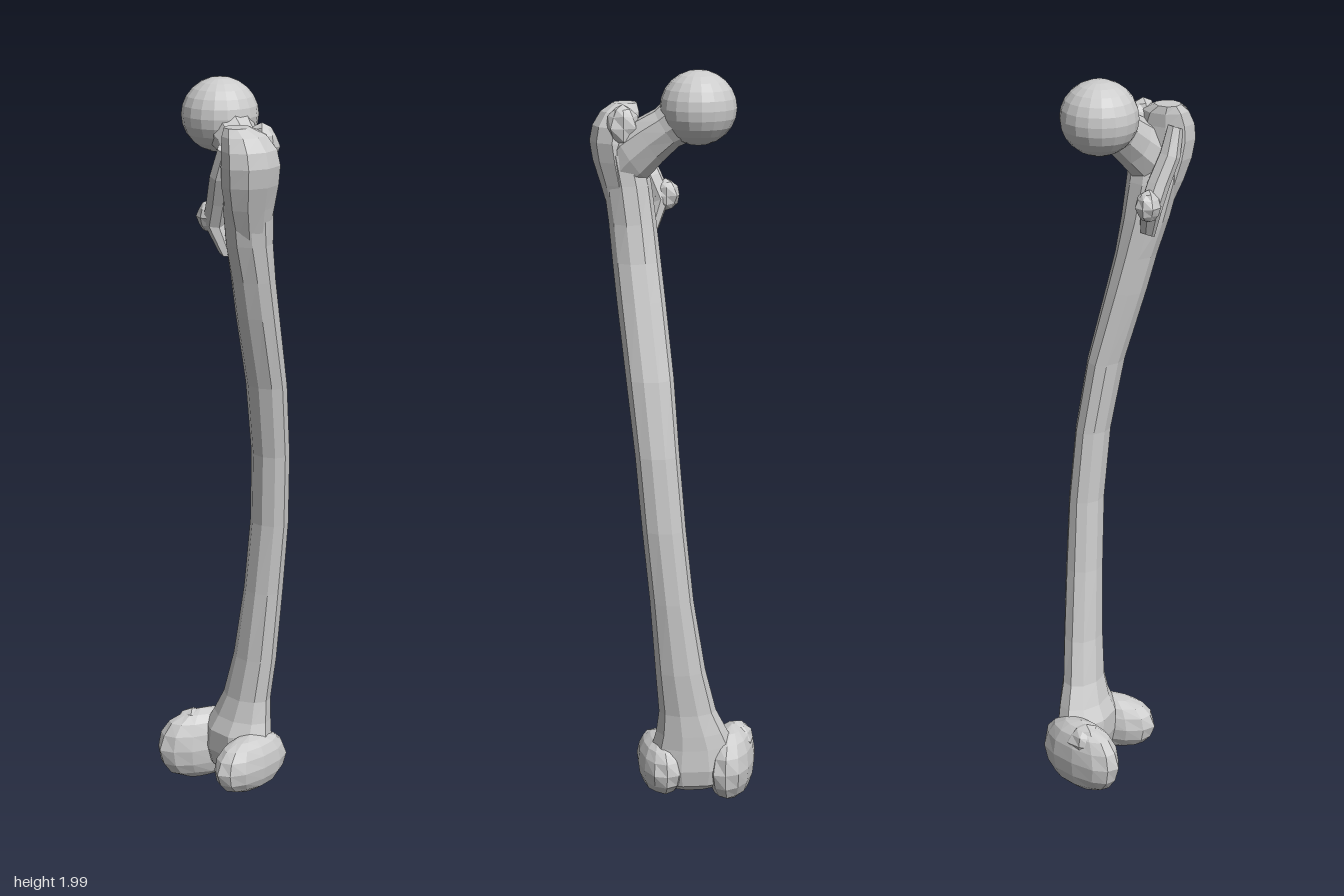
import * as THREE from 'three';

const bone = new THREE.MeshStandardMaterial({ color: 0xcccccc, flatShading: true });
const V = (x, y, z) => new THREE.Vector3(x, y, z);

// Skin elliptical sections [centre, radius along u, radius along v]; they advance along u x v.
function loft(sections, u, v, sides, ridge = () => 1) {
  const pos = [], idx = [];
  for (const [c, ru, rv] of sections) {
    for (let j = 0; j < sides; j++) {
      const a = (j / sides) * Math.PI * 2, k = ridge(a);
      const p = c.clone().addScaledVector(u, Math.cos(a) * ru * k).addScaledVector(v, Math.sin(a) * rv * k);
      pos.push(p.x, p.y, p.z);
    }
  }
  const n = sections.length;
  for (let i = 0; i < n - 1; i++) {
    for (let j = 0; j < sides; j++) {
      const a = i * sides + j, b = i * sides + (j + 1) % sides;
      idx.push(a, b, b + sides, a, b + sides, a + sides);
    }
  }
  // end caps
  const first = sections[0][0], last = sections[n - 1][0], c0 = n * sides;
  pos.push(first.x, first.y, first.z, last.x, last.y, last.z);
  for (let j = 0; j < sides; j++) {
    const k = (j + 1) % sides, top = (n - 1) * sides;
    idx.push(c0, k, j, c0 + 1, top + j, top + k);
  }
  const g = new THREE.BufferGeometry();
  g.setAttribute('position', new THREE.Float32BufferAttribute(pos, 3));
  g.setIndex(idx);
  g.computeVertexNormals();
  return g;
}

// Vertical loft from bounds [y, xMin, xMax, zMin, zMax], listed upwards.
function column(bounds, sides, ridge) {
  const sections = bounds.map(([y, x0, x1, z0, z1]) =>
    [V((x0 + x1) / 2, y, (z0 + z1) / 2), (z1 - z0) / 2, (x1 - x0) / 2]);
  return loft(sections, V(0, 0, 1), V(1, 0, 0), sides, ridge);
}

// Slightly squared, sheared ellipsoid with an uneven surface.
function lump(center, radii, shear = 0, rough = 0.04, ws = 12, hs = 8) {
  const g = new THREE.SphereGeometry(1, ws, hs);
  const p = g.attributes.position, q = V(0, 0, 0);
  const square = (t) => Math.sign(t) * Math.pow(Math.abs(t), 0.88);
  for (let i = 0; i < p.count; i++) {
    q.fromBufferAttribute(p, i);
    const k = 1 + rough * Math.sin(q.x * 5 + 1) * Math.sin(q.y * 6 + 2) * Math.cos(q.z * 5);
    q.set(square(q.x), square(q.y), square(q.z)).multiply(radii).multiplyScalar(k);
    q.z += q.x * shear;
    q.add(center);
    p.setXYZ(i, q.x, q.y, q.z);
  }
  g.computeVertexNormals();
  return g;
}

export function createModel() {
  const model = new THREE.Group();
  const add = (name, geometry) => {
    const m = new THREE.Mesh(geometry, bone);
    m.name = name;
    model.add(m);
    return m;
  };

  // bowed shaft, flaring into the lower end, with a ridge along the rear (-x)
  add('shaft', column([
    [0.055, 0.02, 0.10, -0.11, 0.03],
    [0.075, 0.00, 0.125, -0.15, 0.07],
    [0.12, -0.01, 0.135, -0.165, 0.085],
    [0.18, -0.01, 0.133, -0.15, 0.072],
    [0.22, 0.01, 0.133, -0.13, 0.062],
    [0.28, 0.027, 0.131, -0.10, 0.055],
    [0.40, 0.04, 0.14, -0.07, 0.065],
    [0.60, 0.05, 0.146, -0.037, 0.08],
    [0.80, 0.055, 0.145, -0.016, 0.10],
    [1.00, 0.043, 0.132, 0.0, 0.117],
    [1.20, 0.01, 0.103, 0.012, 0.138],
    [1.40, -0.045, 0.058, 0.03, 0.158],
    [1.50, -0.07, 0.036, 0.04, 0.167],
    [1.60, -0.10, 0.022, 0.05, 0.175],
    [1.70, -0.122, 0.014, 0.062, 0.187],
    [1.78, -0.125, 0.012, 0.08, 0.20],
  ], 10, (a) => (Math.abs(a - 1.5 * Math.PI) < 0.35 ? 1.05 : 1)));

  // greater trochanter
  add('greaterTrochanter', column([
    [1.62, -0.10, 0.0, 0.08, 0.172],
    [1.70, -0.132, 0.008, 0.085, 0.195],
    [1.76, -0.15, 0.010, 0.085, 0.214],
    [1.81, -0.157, 0.010, 0.09, 0.222],
    [1.85, -0.155, 0.003, 0.092, 0.214],
    [1.885, -0.145, -0.02, 0.09, 0.192],
    [1.905, -0.13, -0.06, 0.095, 0.16],
  ], 9));
  add('trochanterFrontKnob', lump(V(-0.02, 1.85, 0.138), V(0.04, 0.055, 0.042), 0, 0.1, 8, 6));

  // neck rising from the trochanter to the head
  const dir = V(0.03, 0.11, -0.16).normalize();
  const side = V(1, 0, 0).addScaledVector(dir, -dir.x).normalize();
  const lift = dir.clone().cross(side);
  add('neck', loft([
    [V(-0.055, 1.735, 0.15), 0.06, 0.065],
    [V(-0.04, 1.775, 0.115), 0.065, 0.075],
    [V(-0.02, 1.815, 0.07), 0.058, 0.066],
    [V(-0.005, 1.85, 0.025), 0.057, 0.058],
    [V(0.005, 1.885, -0.025), 0.07, 0.068],
  ], side, lift, 10));

  // ball head
  const ball = new THREE.SphereGeometry(1, 18, 12);
  ball.scale(0.101, 0.097, 0.1);
  const head = add('head', ball);
  head.position.set(0.01, 1.903, -0.055);

  // rear crest running down to the lesser trochanter
  const down = V(0.03, -0.18, -0.07).normalize();
  const cu = V(1, 0, 0).addScaledVector(down, -down.x).normalize();
  add('crest', loft([
    [V(-0.122, 1.85, 0.115), 0.02, 0.025],
    [V(-0.118, 1.78, 0.09), 0.028, 0.028],
    [V(-0.10, 1.71, 0.06), 0.03, 0.03],
    [V(-0.09, 1.65, 0.035), 0.03, 0.03],
    [V(-0.07, 1.57, 0.06), 0.02, 0.02],
  ], cu, down.clone().cross(cu), 7));
  add('lesserTrochanter', lump(V(-0.092, 1.662, 0.022), V(0.032, 0.04, 0.036), 0, 0.1, 8, 6));

  // the two condyles, with the notch left open between them
  add('innerCondyle', lump(V(0.022, 0.11, -0.15), V(0.125, 0.1, 0.062), 0.24));
  add('outerCondyle', lump(V(0.027, 0.115, 0.048), V(0.127, 0.078, 0.06), -0.08));
  // small bump above the inner condyle
  add('innerEpicondyle', lump(V(0.0, 0.165, -0.165), V(0.05, 0.045, 0.045), 0, 0.1, 8, 6));

  return model;
}
